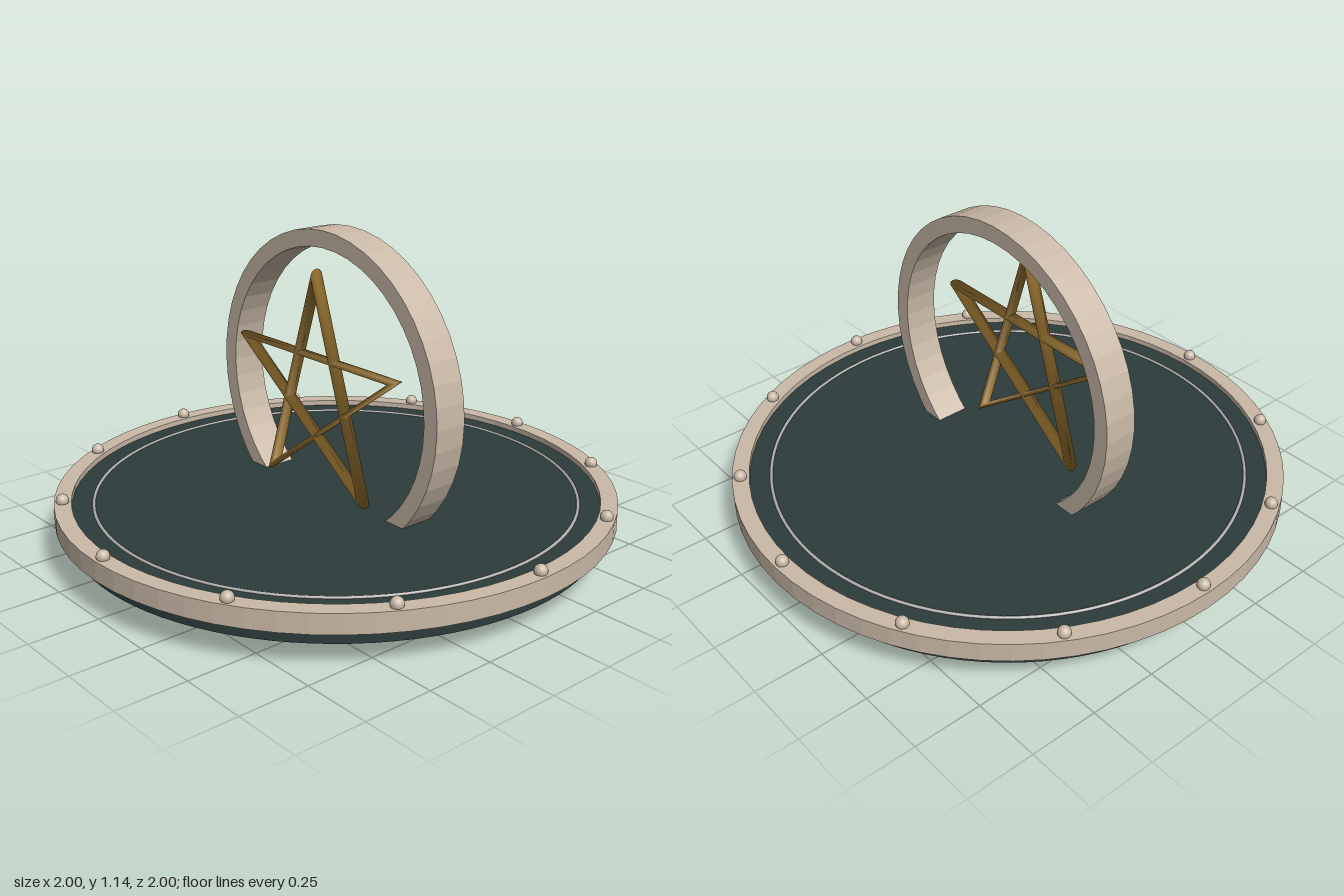
import * as THREE from 'three';

const mat = (name, color) => {
  const m = new THREE.MeshStandardMaterial({ color });
  m.name = name;
  return m;
};

// Flat-sided ring, centred on its own depth along z
function bandGeometry(outer, inner, depth, segments) {
  const shape = new THREE.Shape().absarc(0, 0, outer, 0, Math.PI * 2, false);
  shape.holes.push(new THREE.Path().absarc(0, 0, inner, 0, Math.PI * 2, true));
  const geo = new THREE.ExtrudeGeometry(shape, { depth, bevelEnabled: false, curveSegments: segments / 2 });
  return geo.translate(0, 0, -depth / 2);
}

export function createModel() {
  const model = new THREE.Group();
  model.name = 'starMedallion';
  const stone = mat('pale stone', 0xc9b9a7);
  const slate = mat('dark slate', 0x2d3b3b);
  const brass = mat('aged brass', 0x94702f);
  const silver = mat('silver inlay', 0xb4b0b0);

  const add = (name, geometry, material, x = 0, y = 0, z = 0) => {
    const mesh = new THREE.Mesh(geometry, material);
    mesh.name = name;
    mesh.position.set(x, y, z);
    model.add(mesh);
    return mesh;
  };

  // Base plate with raised rim and inlaid circle
  add('basePlate', new THREE.CylinderGeometry(0.952, 0.952, 0.105, 96), slate, 0, 0.1325);
  add('plateRim', bandGeometry(1, 0.94, 0.07, 64), stone, 0, 0.17).rotation.x = -Math.PI / 2;
  add('inlayCircle', new THREE.TorusGeometry(0.863, 0.006, 8, 96), silver, 0, 0.186).rotation.x = -Math.PI / 2;

  // Twelve beads around the rim
  const bead = new THREE.SphereGeometry(0.023, 16, 12);
  for (let i = 0; i < 12; i++) {
    const a = (i * Math.PI) / 6;
    add('rimBead', bead, stone, 0.97 * Math.cos(a), 0.214, 0.97 * Math.sin(a));
  }

  // Upright hoop passing through the plate
  add('uprightHoop', bandGeometry(0.568, 0.508, 0.125, 48), stone, 0, 0.57);

  // Five-pointed star: a five-segment torus wound twice around
  const star = new THREE.TorusGeometry(0.414, 0.0265, 12, 5, Math.PI * 4);
  add('star', star, brass, 0, 0.57, 0.088).rotation.z = Math.PI / 2;

  return model;
}
